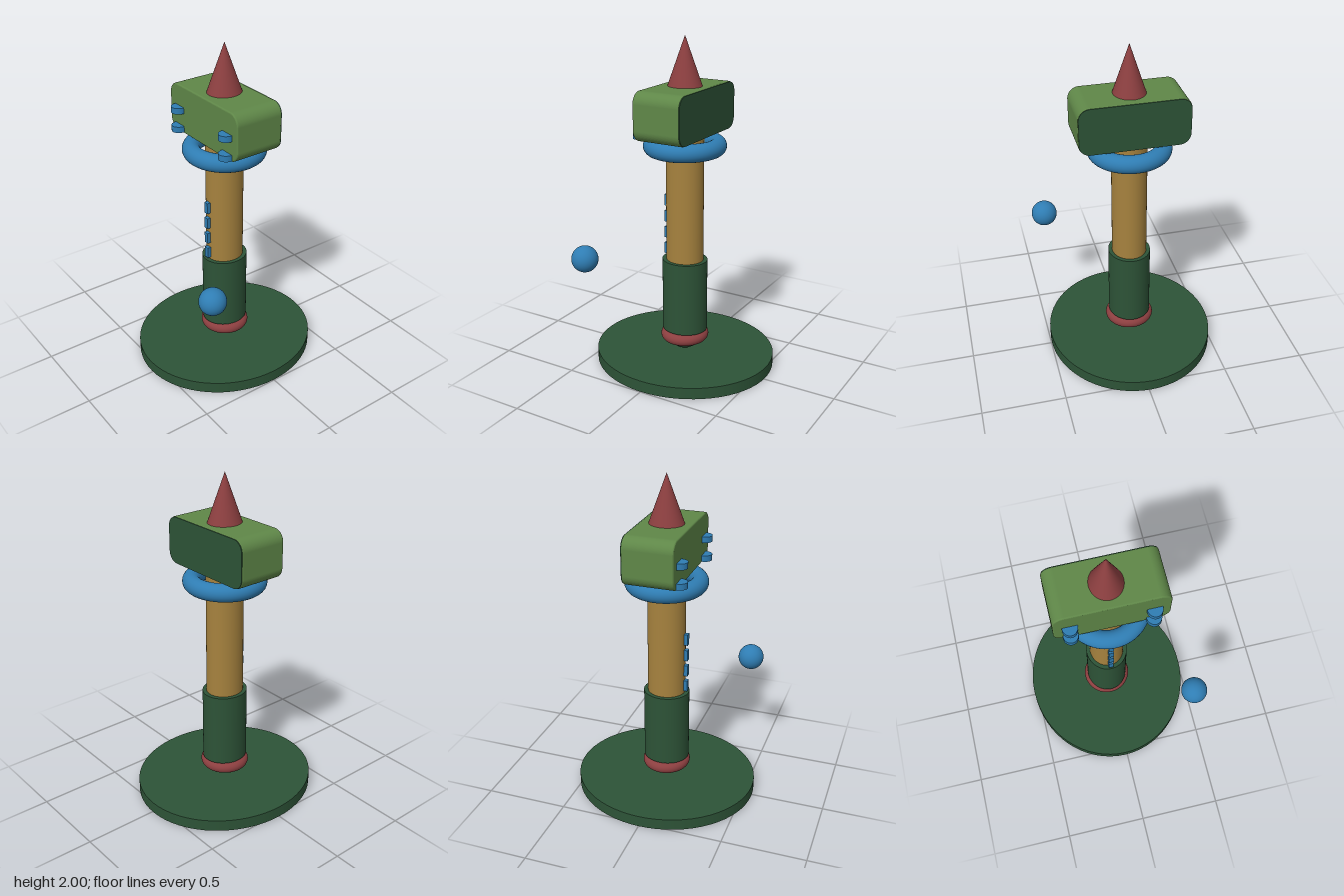
import * as THREE from 'three';

const CX = -0.014; // axis of the staff
const SQUASH = 0.917; // round staff parts are narrower in x than in z

function material(name, color) {
  const m = new THREE.MeshStandardMaterial({ color });
  m.name = name;
  return m;
}

// Rounded rectangle outline centred on the origin
function roundedRect(w, h, r) {
  const x = w / 2, y = h / 2, s = new THREE.Shape();
  s.moveTo(-x + r, -y);
  s.lineTo(x - r, -y);
  s.absarc(x - r, -y + r, r, -Math.PI / 2, 0);
  s.absarc(x - r, y - r, r, 0, Math.PI / 2);
  s.absarc(-x + r, y - r, r, Math.PI / 2, Math.PI);
  s.absarc(-x + r, -y + r, r, Math.PI, Math.PI * 1.5);
  return s;
}

export function createModel() {
  const darkGreen = material('dark green', 0x2d5337);
  const green = material('leaf green', 0x5f8748);
  const gold = material('gold', 0xa6823e);
  const blue = material('blue', 0x2f7db3);
  const red = material('red', 0x8c3f40);

  const model = new THREE.Group();
  model.name = 'hammerOnStand';

  function add(name, geometry, mat, x, y, z) {
    const mesh = new THREE.Mesh(geometry, mat);
    mesh.name = name;
    mesh.position.set(x, y, z);
    model.add(mesh);
    return mesh;
  }

  // Upright cylinder between two heights, oval in plan
  function column(name, mat, radius, y0, y1, topRadius = radius) {
    const g = new THREE.CylinderGeometry(topRadius, radius, y1 - y0, 64);
    add(name, g, mat, CX, (y0 + y1) / 2, 0).scale.x = SQUASH;
  }

  // Flat ring around the staff
  function ring(name, mat, R, tube, y) {
    const g = new THREE.TorusGeometry(R, tube, 24, 72).rotateX(Math.PI / 2);
    add(name, g, mat, CX, y, 0).scale.z = 0.985;
  }

  // Stand, pommel and handle
  column('base', darkGreen, 0.557, 0, 0.07);
  add('pommel', new THREE.SphereGeometry(0.11, 40, 24), darkGreen, CX, 0.18, 0);
  ring('pommelRing', red, 0.113, 0.035, 0.164);
  column('grip', darkGreen, 0.139, 0.205, 0.66);
  column('shaft', gold, 0.114, 0.64, 1.45);
  ring('collar', blue, 0.194, 0.053, 1.366);

  // Studs up the front of the shaft
  for (let i = 0; i < 4; i++) {
    add('shaftStud', new THREE.BoxGeometry(0.03, 0.069, 0.035), blue, CX, 0.709 + i * 0.102, 0.1175);
  }

  // Head block with slightly bevelled faces
  const bevel = 0.008;
  const headGeometry = new THREE.ExtrudeGeometry(
    roundedRect(0.643 - 2 * bevel, 0.285 - 2 * bevel, 0.06),
    { depth: 0.298 - 2 * bevel, bevelSize: bevel, bevelThickness: bevel, bevelSegments: 3, curveSegments: 12 }
  );
  headGeometry.translate(0, 0, -0.149 + bevel);
  add('head', headGeometry, green, CX, 1.572, 0);

  // Dark panel covering the back of the head
  const panel = new THREE.ExtrudeGeometry(roundedRect(0.637, 0.279, 0.065),
    { depth: 0.006, bevelEnabled: false, curveSegments: 12 });
  add('backPanel', panel, darkGreen, CX, 1.572, -0.152);

  // Rounded tabs on the front of the head
  for (const side of [-1, 1]) {
    for (const y of [1.57, 1.455]) {
      const g = new THREE.CylinderGeometry(0.047, 0.047, 0.036, 32);
      add('headTab', g, blue, CX + side * 0.23, y, 0.153).scale.x = SQUASH;
    }
  }

  // Spike on top
  column('spike', red, 0.103, 1.713, 2, 0);

  // Floating orb beside the handle
  add('orb', new THREE.SphereGeometry(0.079, 40, 28), blue, 0.441, 0.73, 0.41);

  return model;
}
